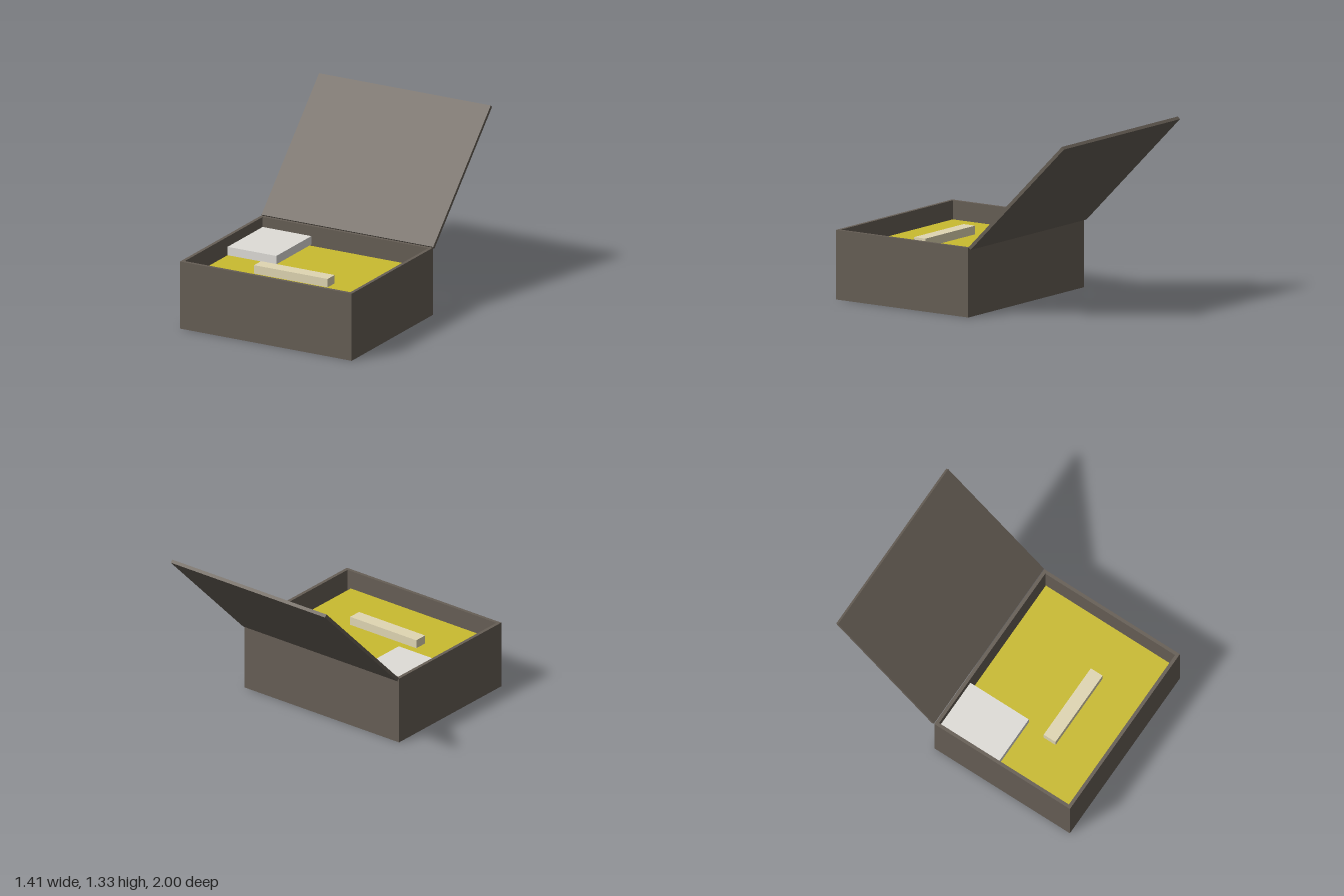
import * as THREE from 'three';

const material = (name, color) => {
  const m = new THREE.MeshStandardMaterial({ color });
  m.name = name;
  return m;
};

export function createModel() {
  const brown = material('brown card', 0x665e55);
  const yellow = material('yellow insert', 0xc9bb30);
  const white = material('off white', 0xdfddd8);
  const cream = material('cream', 0xe0d6b3);

  const model = new THREE.Group();
  model.name = 'openBox';

  // Adds a block spanning the given ranges on x, y and z
  const block = (name, mat, [x0, x1], [y0, y1], [z0, z1]) => {
    const mesh = new THREE.Mesh(new THREE.BoxGeometry(x1 - x0, y1 - y0, z1 - z0), mat);
    mesh.position.set((x0 + x1) / 2, (y0 + y1) / 2, (z0 + z1) / 2);
    mesh.name = name;
    model.add(mesh);
    return mesh;
  };

  const W = 0.705, H = 0.505, BACK = -0.16, FRONT = 1, T = 0.025;

  // Tray: one extruded ring for the walls, plus a floor
  const rect = (shape, x, z0, z1) =>
    shape.moveTo(-x, -z0).lineTo(-x, -z1).lineTo(x, -z1).lineTo(x, -z0).closePath();
  const ring = rect(new THREE.Shape(), W, BACK, FRONT);
  ring.holes.push(rect(new THREE.Path(), W - T, BACK + T, FRONT - T));
  const wallGeometry = new THREE.ExtrudeGeometry(ring, { depth: H, bevelEnabled: false });
  wallGeometry.rotateX(-Math.PI / 2);
  const walls = new THREE.Mesh(wallGeometry, brown);
  walls.name = 'trayWalls';
  model.add(walls);
  block('trayFloor', brown, [-W + T, W - T], [0, T], [BACK + T, FRONT - T]);

  // Lid, hinged open at 45 degrees
  const lid = new THREE.Mesh(new THREE.BoxGeometry(2 * W, T, 1.16), brown);
  lid.rotation.x = Math.PI / 4;
  lid.position.set(0, 0.911, -0.581);
  lid.name = 'lid';
  model.add(lid);

  // Contents
  block('insert', yellow, [-0.68, 0.65], [T, 0.367], [-0.11, 0.975]);
  block('cardStack', white, [-0.68, -0.28], [0.367, 0.43], [-0.135, 0.365]);
  block('bar', cream, [-0.317, 0.287], [0.367, 0.43], [0.517, 0.618]);

  return model;
}
